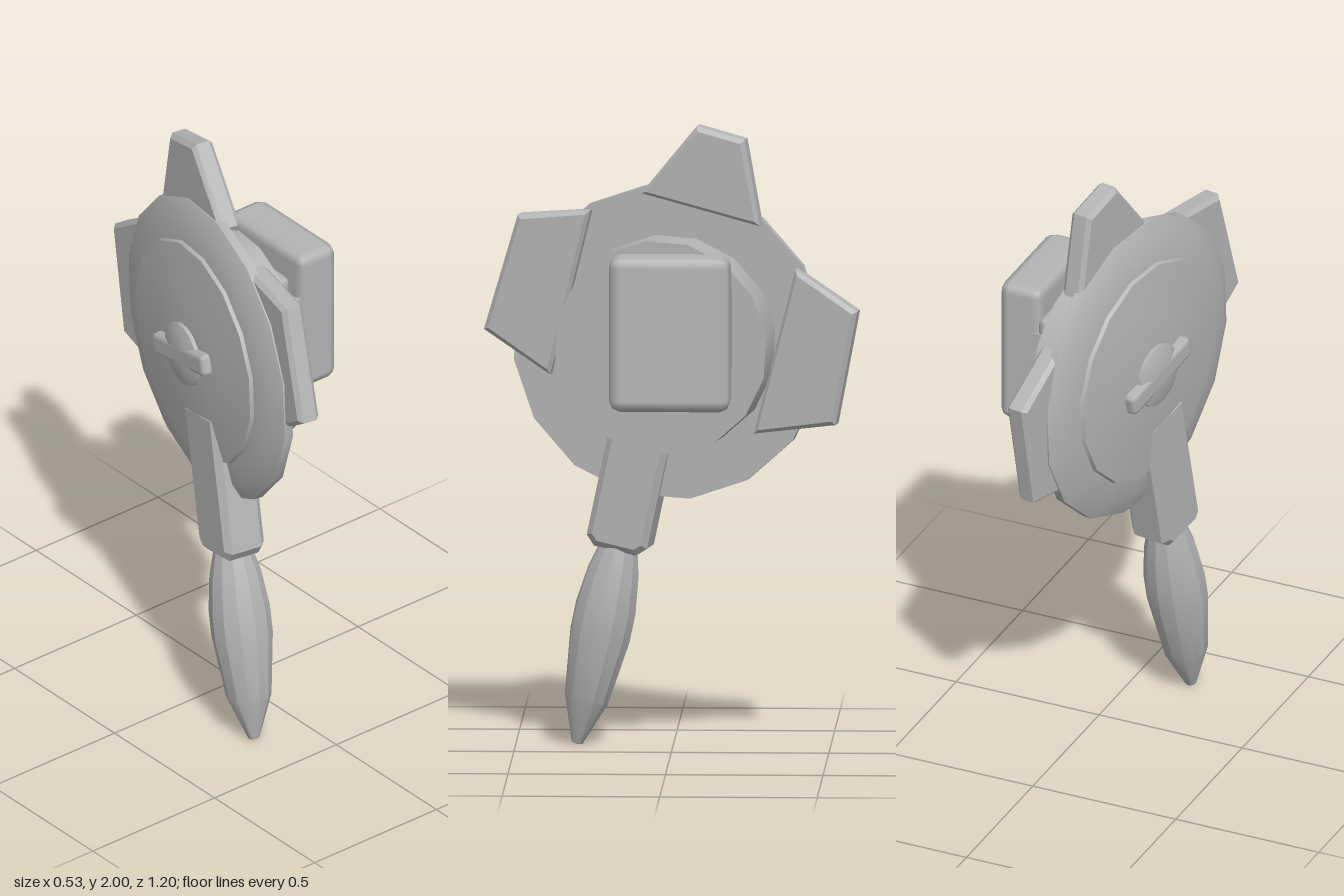
import * as THREE from 'three';
import { toCreasedNormals } from 'three/addons/utils/BufferGeometryUtils.js';
import { RoundedBoxGeometry } from 'three/addons/geometries/RoundedBoxGeometry.js';

const grey = new THREE.MeshStandardMaterial({ color: 0xb4b4b4 });
grey.name = 'grey';

function add(parent, name, geometry, x = 0, y = 0, z = 0) {
  const mesh = new THREE.Mesh(geometry, grey);
  mesh.name = name;
  mesh.position.set(x, y, z);
  parent.add(mesh);
  return mesh;
}

// Lathe from [radius, height] pairs, listed from bottom to top
function turned(points, sides, phase = 0) {
  const g = new THREE.LatheGeometry(points.map(p => new THREE.Vector2(...p)), sides, phase);
  return toCreasedNormals(g, 0.5);
}

// Flat plate in the z-y plane with bevelled edges, from x = back to x = front
function plate(points, back, front, bevel) {
  const g = new THREE.ExtrudeGeometry(new THREE.Shape(points.map(p => new THREE.Vector2(...p))), {
    depth: front - back - 2 * bevel, bevelSize: bevel, bevelThickness: bevel,
    bevelOffset: -bevel, bevelSegments: 1,
  });
  return g.rotateY(-Math.PI / 2).translate(front - bevel, 0, 0);
}

export function createModel() {
  const model = new THREE.Group();

  // Wheel assembly, turned slightly about the vertical
  const wheel = new THREE.Group();
  wheel.name = 'wheel';
  wheel.position.y = 1.3;
  wheel.rotation.y = -0.17;
  model.add(wheel);

  // Dished disc with a stepped back
  add(wheel, 'disc', turned([
    [0, 0.095], [0.505, 0.095], [0.505, 0.125], [0.45, 0.152], [0.375, 0.163],
    [0.37, 0.175], [0.2, 0.197], [0, 0.207],
  ], 16, -0.14).rotateZ(Math.PI / 2), 0, 0, 0.03);

  // Drum on the front of the disc
  add(wheel, 'drum', turned([
    [0, -0.046], [0.345, -0.046], [0.345, 0.11], [0, 0.11],
  ], 16, -0.14).rotateZ(Math.PI / 2), 0, 0, 0.025);

  // Three fins around the rim
  const fins = {
    frontFin: [[0.51, 0.4], [0.275, 0.42], [0.405, -0.11], [0.62, 0.03]],
    topFin: [[-0.07, 0.7], [0.11, 0.48], [-0.275, 0.385], [-0.225, 0.66]],
    rearFin: [[-0.39, 0.25], [-0.59, 0.12], [-0.52, -0.245], [-0.255, -0.28]],
  };
  for (const [name, points] of Object.entries(fins)) {
    add(wheel, name, plate(points, -0.12, -0.045, 0.014));
  }

  // Handle and rear cap share the same lean
  const handle = new THREE.Group();
  handle.name = 'handle';
  handle.position.z = 0.055;
  handle.rotation.x = -0.21;
  wheel.add(handle);
  add(handle, 'stem', plate([
    [-0.1, -0.18], [-0.1, -0.655], [-0.07, -0.685], [0.07, -0.685], [0.1, -0.655], [0.1, -0.18],
  ], -0.197, -0.052, 0.02));
  add(handle, 'grip', turned([
    [0, -1.33], [0.018, -1.325], [0.072, -1.18], [0.098, -0.97], [0.098, -0.88],
    [0.083, -0.76], [0.06, -0.67], [0, -0.67],
  ], 12), -0.125, 0, 0);

  const cap = new THREE.Group();
  cap.name = 'rearCap';
  cap.position.z = 0.025;
  cap.rotation.x = -0.25;
  wheel.add(cap);
  add(cap, 'capDisc', turned([
    [0, 0.18], [0.105, 0.18], [0.105, 0.215], [0.07, 0.228], [0, 0.232],
  ], 16).rotateZ(Math.PI / 2));
  add(cap, 'capBar', new RoundedBoxGeometry(0.05, 0.075, 0.335, 1, 0.018), -0.207, 0, 0);

  // Hinge bracket between drum and pad
  add(model, 'bracket', new RoundedBoxGeometry(0.13, 0.3, 0.32, 1, 0.025), 0.065, 1.37, -0.035);
  add(model, 'hingePin', toCreasedNormals(
    new THREE.CylinderGeometry(0.095, 0.095, 0.37, 16).rotateX(Math.PI / 2), 0.5), 0.13, 1.37, -0.01);

  // Bevelled pad
  add(model, 'pad', new RoundedBoxGeometry(0.15, 0.495, 0.385, 1, 0.035), 0.19, 1.37, -0.003);

  return model;
}
